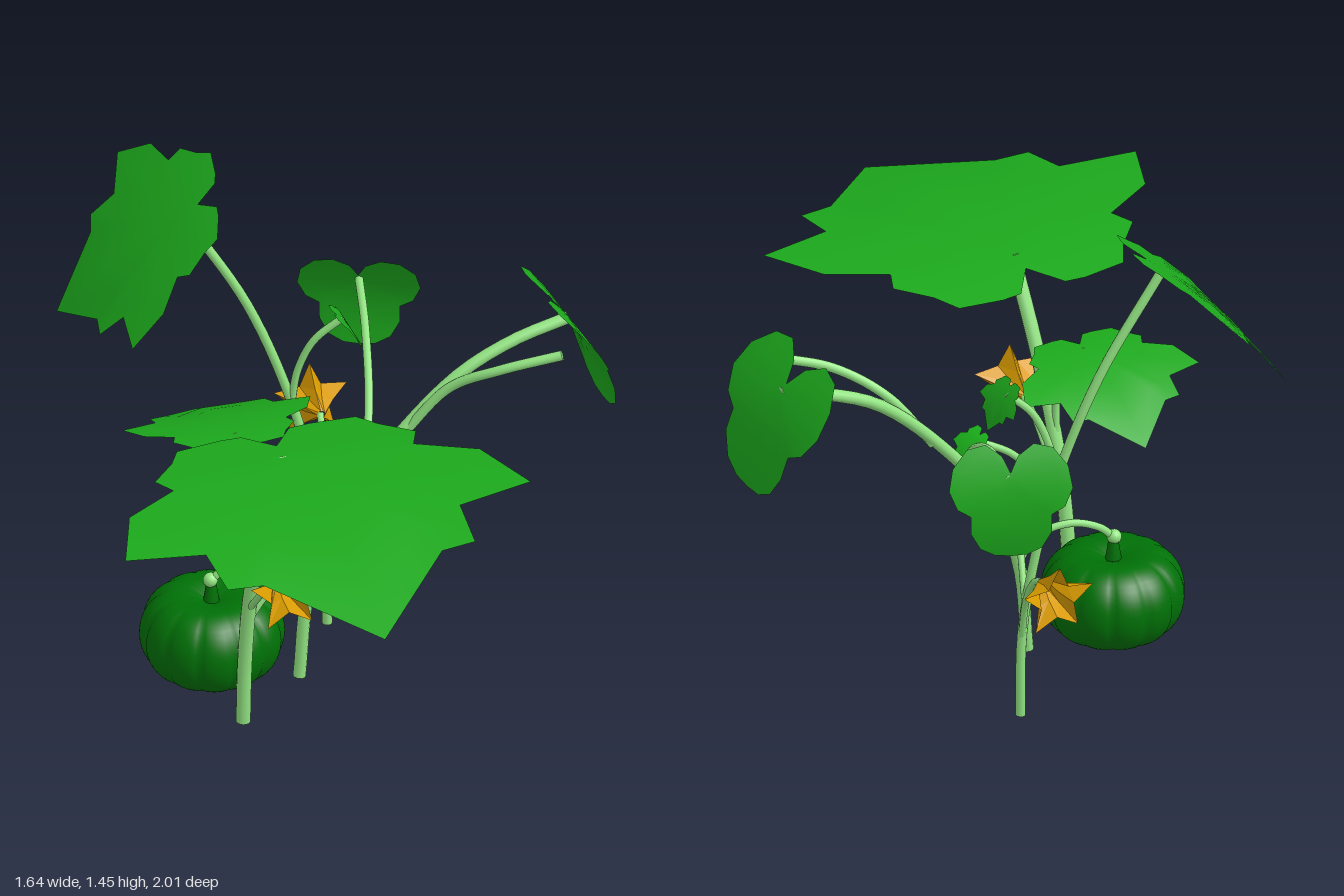
import * as THREE from 'three';
import { mergeGeometries, mergeVertices } from 'three/addons/utils/BufferGeometryUtils.js';

const V = (a) => new THREE.Vector3(...a);

// Half outlines (side, towards tip), running from the stem notch to the tip
const LOBED = [[0, -0.085], [0.07, -0.18], [0.13, -0.185], [0.26, -0.17], [0.3, -0.1], [0.38, -0.015], [0.35, 0.05],
  [0.51, 0.14], [0.59, 0.33], [0.37, 0.37], [0.36, 0.52], [0.26, 0.53], [0, 0.79]];
const ROUND = [[0, -0.03], [0.03, -0.09], [0.09, -0.13], [0.16, -0.115], [0.215, -0.05], [0.23, 0.03], [0.2, 0.1],
  [0.15, 0.13], [0.15, 0.2], [0.115, 0.265], [0.06, 0.295], [0, 0.3]];

export function createModel() {
  const model = new THREE.Group();
  const mat = (name, color, side = THREE.FrontSide, flatShading = false) => {
    const m = new THREE.MeshStandardMaterial({ color, side, flatShading });
    m.name = name;
    return m;
  };
  const stemGreen = mat('stemGreen', 0x92e482);
  const leafGreen = mat('leafGreen', 0x1ca81c, THREE.DoubleSide);
  const youngGreen = mat('youngLeafGreen', 0x20ca20, THREE.DoubleSide);
  const fruitGreen = mat('fruitGreen', 0x007006);
  const petalGold = mat('petalGold', 0xd89a00, THREE.DoubleSide, true);

  const add = (name, geometry, material) => {
    const mesh = new THREE.Mesh(geometry, material);
    mesh.name = name;
    model.add(mesh);
    return mesh;
  };

  // Place a mesh with local +z along forward and local +y close to up
  const orient = (mesh, at, forward, up) => {
    const z = V(forward).normalize();
    const x = V(up).cross(z).normalize();
    const y = z.clone().cross(x);
    mesh.quaternion.setFromRotationMatrix(new THREE.Matrix4().makeBasis(x, y, z));
    mesh.position.set(...at);
  };

  // Stem: a tube along a smooth curve, closed by a disc at each end
  const stem = (name, radius, points) => {
    const curve = new THREE.CatmullRomCurve3(points.map(V));
    const parts = [new THREE.TubeGeometry(curve, 28, radius, 10)];
    for (const t of [0, 1]) {
      const dir = curve.getTangent(t).multiplyScalar(t ? 1 : -1);
      const cap = new THREE.CircleGeometry(radius, 10);
      cap.applyQuaternion(new THREE.Quaternion().setFromUnitVectors(new THREE.Vector3(0, 0, 1), dir));
      cap.translate(...curve.getPoint(t).toArray());
      parts.push(cap);
    }
    add(name, mergeGeometries(parts), stemGreen);
  };

  // Leaf: mirrored outline filled by rings around the stem joint, bent along its length
  const leaf = (name, half, size, curl, at, tip, up, material = leafGreen) => {
    const outline = [...half, ...half.slice(1, -1).reverse().map(([x, z]) => [-x, z])];
    const n = outline.length, rings = 5;
    const pos = [0, 0, 0], index = [];
    for (let r = 1; r <= rings; r++) {
      for (const [x, z] of outline) {
        const k = r / rings, dz = z * k - 0.15;
        pos.push(x * k * size, -curl * (dz * dz - 0.0225) * size, z * k * size);
      }
    }
    for (let i = 0; i < n; i++) {
      const j = (i + 1) % n;
      index.push(0, 1 + j, 1 + i);
      for (let r = 1; r < rings; r++) {
        const a = 1 + (r - 1) * n, b = a + n;
        index.push(a + i, a + j, b + j, a + i, b + j, b + i);
      }
    }
    const g = new THREE.BufferGeometry();
    g.setAttribute('position', new THREE.Float32BufferAttribute(pos, 3));
    g.setIndex(index);
    g.computeVertexNormals();
    orient(add(name, g, material), at, tip, up);
  };

  // Flower: faceted straight-sided trumpet with pointed petals
  const flower = (name, at, forward) => {
    const petals = 5, n = petals * 2, pos = [], index = [];
    const rings = [[0.012, 0.012, 0], [0.052, 0.03, 0.05], [0.11, 0.052, 0.105]];
    rings.forEach(([tip, valley, z], r) => {
      for (let i = 0; i < n; i++) {
        const a = (i / n) * Math.PI * 2, rad = i % 2 ? valley : tip;
        pos.push(Math.sin(a) * rad, Math.cos(a) * rad, z);
        if (r < 2) {
          const j = (i + 1) % n, p = r * n;
          index.push(p + i, p + j, p + n + j, p + i, p + n + j, p + n + i);
        }
      }
    });
    const g = new THREE.BufferGeometry();
    g.setAttribute('position', new THREE.Float32BufferAttribute(pos, 3));
    g.setIndex(index);
    g.computeVertexNormals();
    orient(add(name, g, petalGold), at, forward, [0, 1, 0]);
  };

  // Main stems
  stem('frontStem', 0.021, [[-0.262, 0, -0.08], [-0.26, 0.2, -0.072], [-0.257, 0.4, -0.045], [-0.252, 0.6, 0.01],
    [-0.247, 0.8, 0.095], [-0.243, 1.015, 0.21]]);
  stem('middleStem', 0.018, [[-0.057, 0.03, -0.2], [-0.03, 0.3, -0.2], [0.05, 0.52, -0.2], [0.2, 0.72, -0.2],
    [0.4, 0.91, -0.2], [0.56, 0.99, -0.2], [0.72, 1.035, -0.195]]);
  stem('backStem', 0.014, [[0.118, 0, -0.47], [0.113, 0.25, -0.47], [0.075, 0.5, -0.48], [0.02, 0.74, -0.505],
    [-0.09, 1.04, -0.545], [-0.262, 1.34, -0.585]]);

  // Side stems
  stem('frontFlowerStem', 0.01, [[-0.257, 0.38, -0.05], [-0.255, 0.48, 0.04], [-0.253, 0.56, 0.11], [-0.25, 0.595, 0.16]]);
  stem('frontYoungStem', 0.011, [[-0.255, 0.35, -0.05], [-0.19, 0.44, -0.05], [-0.1, 0.55, -0.04], [0, 0.61, -0.025]]);
  stem('shadedLeafStem', 0.011, [[-0.255, 0.52, -0.015], [-0.258, 0.68, -0.01], [-0.26, 0.8, -0.07], [-0.26, 0.885, -0.16]]);
  stem('fruitStem', 0.011, [[-0.03, 0.31, -0.2], [-0.08, 0.385, -0.215], [-0.17, 0.41, -0.24], [-0.25, 0.385, -0.26],
    [-0.288, 0.35, -0.268]]);
  stem('bareStem', 0.014, [[0.24, 0.75, -0.2], [0.36, 0.91, -0.15], [0.48, 0.99, -0.07], [0.64, 1.04, -0.012]]);
  stem('shortBareStem', 0.01, [[0.01, 0.45, -0.2], [0.08, 0.59, -0.175], [0.2, 0.73, -0.085]]);
  stem('backLeafStem', 0.012, [[0.13, 0.64, -0.2], [0.19, 0.78, -0.33], [0.25, 0.89, -0.53], [0.305, 0.915, -0.74]]);
  stem('upperYoungStem', 0.011, [[0.025, 0.72, -0.5], [0.04, 0.83, -0.49], [0.08, 0.93, -0.47], [0.15, 1.0, -0.445]]);
  stem('backYoungStem', 0.01, [[0.105, 0.36, -0.47], [0.07, 0.49, -0.38], [0.015, 0.6, -0.25]]);
  stem('backFlowerStem', 0.01, [[0.115, 0.24, -0.47], [0.13, 0.38, -0.52], [0.155, 0.49, -0.61], [0.175, 0.535, -0.69]]);

  // Large lobed leaves
  leaf('frontLeaf', LOBED, 1, 0.28, [-0.235, 1.024, 0.208], [0.01, 0, 1], [0, 1, 0]);
  leaf('topLeaf', LOBED, 0.635, 0.2, [-0.262, 1.345, -0.587], [-0.36, -0.35, -0.19], [-0.69, 0.72, -0.02]);
  leaf('shadedLeaf', LOBED, 0.46, 0.35, [-0.26, 0.89, -0.17], [0.02, -0.22, -1], [0, 1, -0.22]);

  // Rounded leaves
  leaf('sideLeaf', ROUND, 0.97, 0.9, [0.72, 1.04, -0.2], [0.33, -0.94, 0.06], [0.95, 0.33, -0.05]);
  leaf('backLeaf', ROUND, 0.74, 0.9, [0.305, 0.91, -0.745], [0.04, -1, -0.08], [0.42, 0.1, -0.9]);

  // Young leaves
  leaf('frontYoungLeaf', LOBED, 0.155, 0.3, [0, 0.617, -0.02], [0.6, -0.75, 0.05], [0.75, 0.6, 0.1], youngGreen);
  leaf('backYoungLeaf', LOBED, 0.155, 0.3, [0.005, 0.61, -0.245], [-0.85, -0.35, 0.1], [-0.35, 0.8, 0.45], youngGreen);
  leaf('upperYoungLeaf', LOBED, 0.16, 0.3, [0.145, 1.008, -0.44], [0.6, -0.8, 0], [0.78, 0.6, 0], leafGreen);

  // Flowers
  flower('frontFlower', [-0.25, 0.593, 0.155], [0.0, 0.2, 1]);
  flower('backFlower', [0.175, 0.533, -0.685], [0.06, -0.1, -1]);

  // Fruit: a squat lathe pinched into ribs
  const profile = [[0, 0.09], [0.06, 0.066], [0.115, 0.063], [0.16, 0.086], [0.19, 0.13], [0.2, 0.182],
    [0.19, 0.235], [0.16, 0.278], [0.115, 0.3], [0.06, 0.298], [0, 0.275]];
  const curve = new THREE.SplineCurve(profile.map(([x, y]) => new THREE.Vector2(x, y)));
  const outline = curve.getPoints(30);
  outline.forEach((p) => { p.x = Math.max(p.x, 0); });
  const lathe = new THREE.LatheGeometry(outline, 96);
  lathe.deleteAttribute('uv');
  lathe.deleteAttribute('normal');
  const p = lathe.attributes.position;
  for (let i = 0; i < p.count; i++) {
    const a = Math.atan2(p.getX(i), p.getZ(i));
    const k = 0.95 + 0.05 * Math.sqrt(Math.abs(Math.sin(a * 6)));
    p.setXYZ(i, p.getX(i) * k, p.getY(i), p.getZ(i) * k);
  }
  const ribbed = mergeVertices(lathe, 1e-4);
  ribbed.computeVertexNormals();
  add('fruit', ribbed, fruitGreen).position.set(-0.286, 0, -0.27);

  // Slim neck and round knob where the fruit joins its stem
  const neck = new THREE.CylinderGeometry(0.013, 0.024, 0.07, 12);
  add('fruitNeck', neck, fruitGreen).position.set(-0.288, 0.31, -0.27);
  add('fruitKnob', new THREE.SphereGeometry(0.021, 14, 10), stemGreen).position.set(-0.291, 0.35, -0.269);

  return model;
}
